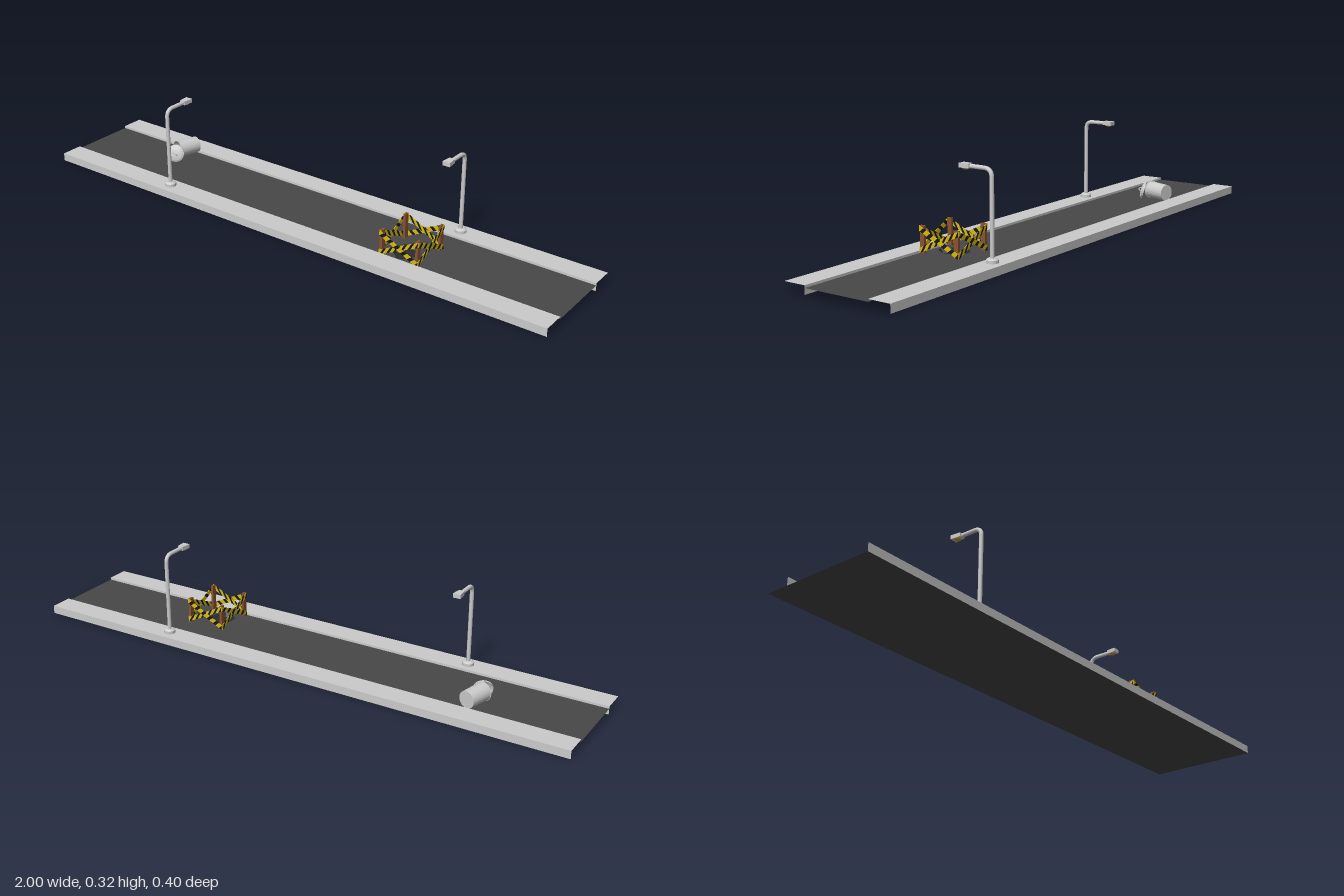
import * as THREE from 'three';

const mat = (color, flatShading = false, side = THREE.FrontSide) =>
  new THREE.MeshStandardMaterial({ color, flatShading, side });
const GREY = mat(0xcccccc), METAL = mat(0xcccccc, true, THREE.DoubleSide);
const ASPHALT = mat(0x484848), HOLE = mat(0x2c2c2c, true, THREE.DoubleSide);
const WOOD = mat(0x8a5230), YELLOW = mat(0xd8bc10), BLACK = mat(0x161616), BULB = mat(0xc8a430);
const ROAD_Y = 0.02, WALK_Y = 0.028;
const UP = new THREE.Vector3(0, 1, 0);

function add(parent, name, geo, material, x = 0, y = 0, z = 0) {
  const m = new THREE.Mesh(geo, material);
  m.name = name;
  m.position.set(x, y, z);
  parent.add(m);
  return m;
}

// Irregular pothole outline, as [x, z] pairs
const RIM = [[0.385, 0.02], [0.4, 0.0], [0.425, -0.006], [0.445, 0.008], [0.46, 0.025], [0.468, 0.052],
  [0.455, 0.078], [0.44, 0.1], [0.42, 0.106], [0.402, 0.088], [0.382, 0.076], [0.378, 0.048]];

function buildRoad() {
  const g = new THREE.Group();
  g.name = 'road';
  // Road surface with the pothole cut out
  const s = new THREE.Shape([[-1, -0.12], [1, -0.12], [1, 0.12], [-1, 0.12]].map(p => new THREE.Vector2(...p)));
  s.holes.push(new THREE.Path(RIM.map(([x, z]) => new THREE.Vector2(x, -z))));
  add(g, 'roadSurface', new THREE.ShapeGeometry(s).rotateX(-Math.PI / 2), ASPHALT, 0, ROAD_Y, 0);
  add(g, 'underside', new THREE.PlaneGeometry(2, 0.4).rotateX(Math.PI / 2), ASPHALT);

  // Sloping pothole wall and its floor
  const n = RIM.length, pos = [], idx = [];
  const floor = RIM.map(([x, z]) => [0.423 + (x - 0.423) * 0.82, 0.05 + (z - 0.05) * 0.82]);
  RIM.forEach(([x, z], i) => {
    pos.push(x, ROAD_Y, z, floor[i][0], 0.006, floor[i][1]);
    const a = 2 * i, b = 2 * ((i + 1) % n);
    idx.push(a, a + 1, b, b, a + 1, b + 1);
  });
  const wall = new THREE.BufferGeometry();
  wall.setAttribute('position', new THREE.Float32BufferAttribute(pos, 3));
  wall.setIndex(idx);
  wall.computeVertexNormals();
  add(g, 'potholeWall', wall, HOLE);
  const fs = new THREE.Shape(floor.map(([x, z]) => new THREE.Vector2(x, -z)));
  add(g, 'potholeFloor', new THREE.ShapeGeometry(fs).rotateX(-Math.PI / 2), HOLE, 0, 0.006, 0);
  return g;
}

// Raised sidewalk, open at both road ends
function buildSidewalk() {
  const g = new THREE.Group();
  g.name = 'sidewalk';
  add(g, 'sidewalkTop', new THREE.PlaneGeometry(2, 0.08).rotateX(-Math.PI / 2), GREY, 0, WALK_Y, 0.16);
  add(g, 'sidewalkOuterSide', new THREE.PlaneGeometry(2, WALK_Y), GREY, 0, WALK_Y / 2, 0.2);
  add(g, 'curb', new THREE.PlaneGeometry(2, WALK_Y).rotateY(Math.PI), GREY, 0, WALK_Y / 2, 0.12);
  return g;
}

function buildLamp() {
  const g = new THREE.Group();
  g.name = 'streetLamp';
  const V = (y, z) => new THREE.Vector3(0, y, z);
  // Base plate with a chamfered top
  const base = [[0, 0], [0.02, 0], [0.02, 0.011], [0.013, 0.016], [0, 0.016]].map(p => new THREE.Vector2(...p));
  add(g, 'lampBase', new THREE.LatheGeometry(base, 16), METAL, 0, WALK_Y - 0.001, 0.158);
  // Pole bending over into the arm
  const path = new THREE.CurvePath();
  path.add(new THREE.LineCurve3(V(0.035, 0.158), V(0.288, 0.158)));
  path.add(new THREE.QuadraticBezierCurve3(V(0.288, 0.158), V(0.314, 0.158), V(0.314, 0.13)));
  path.add(new THREE.LineCurve3(V(0.314, 0.13), V(0.314, 0.075)));
  add(g, 'lampPole', new THREE.TubeGeometry(path, 60, 0.007, 10), GREY);
  // Flat head narrowing toward the arm, with a glowing lens below
  const head = new THREE.BoxGeometry(0.027, 0.014, 0.036);
  const p = head.attributes.position;
  for (let i = 0; i < p.count; i++) if (p.getZ(i) > 0) p.setX(i, p.getX(i) * 0.75);
  head.computeVertexNormals();
  add(g, 'lampHead', head, METAL, 0, 0.315, 0.061);
  add(g, 'lampLens', new THREE.SphereGeometry(0.012, 14, 10), BULB, 0, 0.309, 0.06).scale.y = 0.6;
  return g;
}

// Striped plank, sloping by rise over its length, with upright ends
function buildPlank(length, rise) {
  const g = new THREE.Group();
  g.name = 'stripedPlank';
  const h = 0.009, lean = 0.007, L = length / 2, slope = rise / length;
  const pitch = length / 5.5, black = pitch * 0.42;
  const pt = (u, v) => {
    const c = THREE.MathUtils.clamp(u + v * lean, -L, L);
    return new THREE.Vector2(c, slope * c + v * h);
  };
  const stripe = (a, b, m) => add(g, m === BLACK ? 'blackStripe' : 'yellowStripe', new THREE.ExtrudeGeometry(
    new THREE.Shape([pt(a, -1), pt(b, -1), pt(b, 1), pt(a, 1)]), { depth: 0.002, bevelEnabled: false }), m);
  let u = -L - lean;
  for (let i = 0; u < L + lean; i++) {
    const w = i % 2 ? black : pitch - black;
    stripe(u, Math.min(u + w, L + lean), i % 2 ? BLACK : YELLOW);
    u += w;
  }
  return g;
}

function buildBarrier() {
  const g = new THREE.Group();
  g.name = 'potholeBarrier';
  const w = 0.144, d = 0.153;
  // Corner posts
  for (const x of [-1, 1]) for (const z of [-1, 1])
    add(g, 'barrierPost', new THREE.BoxGeometry(0.009, 0.089, 0.017), WOOD,
      x * (w / 2 - 0.005), ROAD_Y + 0.0445, z * (d / 2 - 0.009));
  // Crossed planks on all four sides
  for (let k = 0; k < 4; k++) {
    const side = new THREE.Group();
    side.name = 'crossedPlanks';
    [1, -1].forEach((s, i) => {
      const plank = buildPlank(k % 2 ? d : w, s * 0.071);
      plank.position.set(0, 0.0645, (k % 2 ? w : d) / 2 + i * 0.001 - 0.001);
      side.add(plank);
    });
    side.rotation.y = k * Math.PI / 2;
    g.add(side);
  }
  g.position.set(0.434, 0, 0.042);
  return g;
}

function buildBin() {
  const g = new THREE.Group();
  g.name = 'trashCan';
  // Can lying on its side, open end toward the front
  const can = new THREE.Group();
  can.name = 'can';
  add(can, 'canWall', new THREE.CylinderGeometry(0.0305, 0.029, 0.08, 28, 1, true), METAL, 0, 0.04, 0);
  add(can, 'canBottom', new THREE.CircleGeometry(0.029, 28).rotateX(-Math.PI / 2), METAL, 0, 0.001, 0);
  add(can, 'canRim', new THREE.TorusGeometry(0.031, 0.002, 8, 28).rotateX(Math.PI / 2), GREY, 0, 0.08, 0);
  can.quaternion.setFromUnitVectors(UP, new THREE.Vector3(-0.26, 0.02, 0.97).normalize());
  can.position.set(-0.624, 0.054, -0.118);
  g.add(can);
  // Domed lid leaning against the can
  const lid = new THREE.Group();
  lid.name = 'lid';
  const dome = [[0.032, -0.005], [0.032, 0], [0.026, 0.004], [0.014, 0.007], [0, 0.008]];
  add(lid, 'lidDome', new THREE.LatheGeometry(dome.map(p => new THREE.Vector2(...p)), 28), METAL);
  add(lid, 'lidHandle', new THREE.TorusGeometry(0.009, 0.002, 8, 14, Math.PI), GREY, 0, 0.006, 0);
  lid.quaternion.setFromUnitVectors(UP, new THREE.Vector3(0.42, 0.28, 0.86).normalize());
  lid.position.set(-0.632, 0.052, -0.012);
  g.add(lid);
  return g;
}

export function createModel() {
  const model = new THREE.Group();
  model.name = 'street';
  model.add(buildRoad(), buildBarrier(), buildBin());
  // Sidewalks and lamps face each other across the road
  for (const turn of [0, Math.PI]) {
    const walk = buildSidewalk(), lamp = buildLamp();
    walk.rotation.y = lamp.rotation.y = turn;
    lamp.position.x = turn ? 0.497 : -0.5;
    model.add(walk, lamp);
  }
  return model;
}
